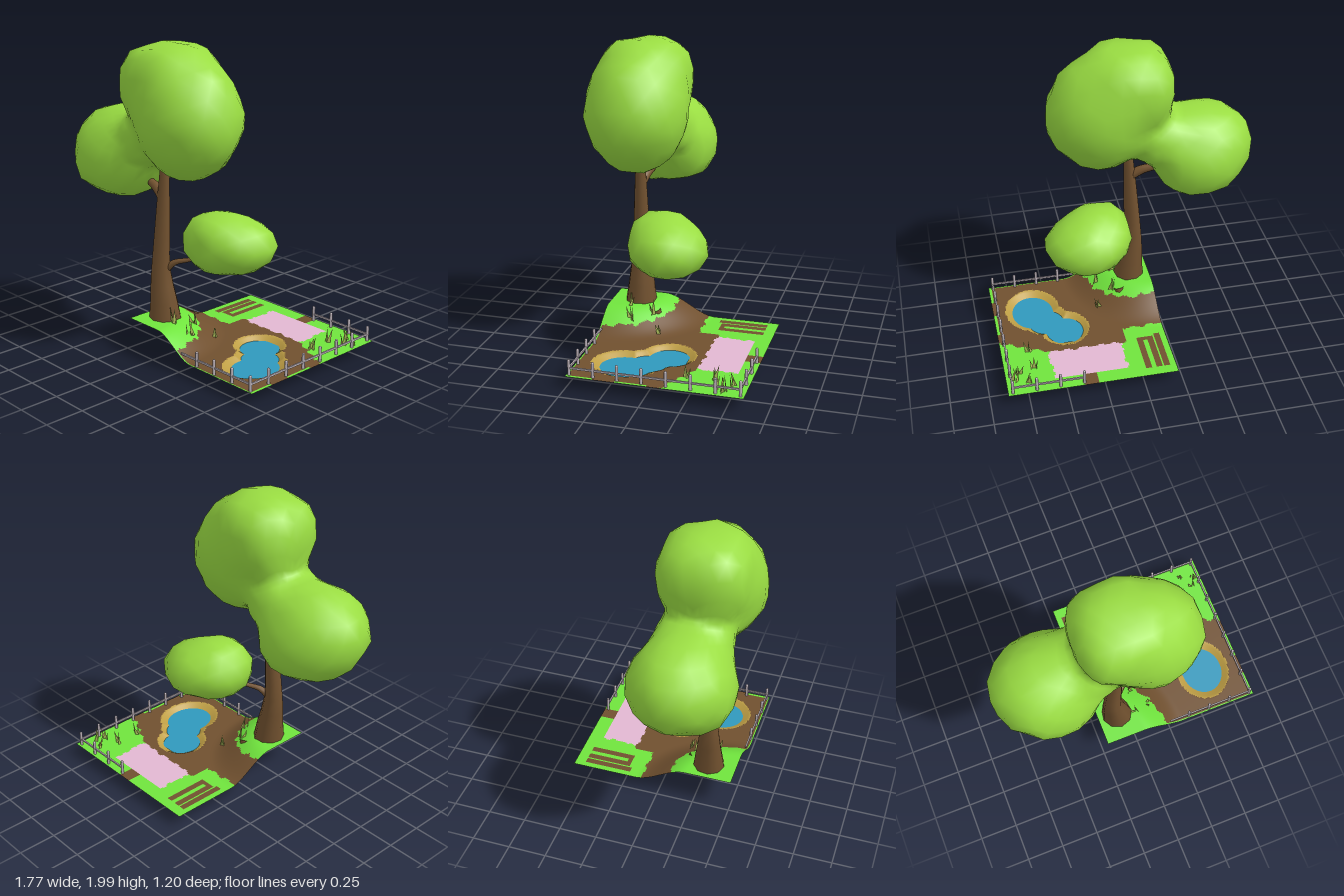
import * as THREE from 'three';
import { mergeVertices } from 'three/addons/utils/BufferGeometryUtils.js';

const V = (x, y, z) => new THREE.Vector3(x, y, z);
const mat = (name, color, side = THREE.FrontSide) => {
  const m = new THREE.MeshStandardMaterial({ color, side });
  m.name = name;
  return m;
};
const hash = (a, b, c) => {
  const s = Math.sin(a * 127.1 + b * 311.7 + c * 74.7) * 43758.5453;
  return s - Math.floor(s);
};

// Pond outline: overlapping ellipses, 1 at the water line
const pond = (x, z) => Math.min(
  Math.hypot((x - 0.615) / 0.14, (z - 0.2) / 0.165),
  Math.hypot((x - 0.43) / 0.125, (z + 0.03) / 0.13),
  Math.hypot((x - 0.54) / 0.12, (z - 0.08) / 0.12));

// Height of the land: a hill in the front corner and the pond basin
function landHeight(x, z) {
  const d = Math.hypot((x + 0.22) / 0.56, (0.5 - z) / 0.65);
  const hill = 0.14 * (1 - THREE.MathUtils.smoothstep(d, 0.48, 1.02));
  const basin = 0.08 * THREE.MathUtils.clamp((1.3 - pond(x, z)) / 0.9, 0, 1);
  return 0.08 + hill - basin;
}

// Land colour: 0 grass, 1 soil, 2 paving, 3 sand
function landColour(x, z) {
  const w = 0.007 * Math.sin(x * 60 + z * 25) + 0.005 * Math.sin(z * 90 - x * 40);
  if (pond(x, z) + w < 1.33) return 3;
  if (x > 0.09 + w && x < 0.575 + w && z > -0.5 && z < -0.25 + w) return 2;
  if (x > 0.3 && x < 0.39 && z < -0.49) return 1;
  const inRow = [[-0.18, -0.14, -0.21], [-0.13, -0.085, -0.24], [-0.055, -0.015, -0.23]]
    .some(([a, b, end]) => x > a && x < b && z > -0.53 && z < end);
  if (inRow || (x > -0.13 && x < -0.06 && z > -0.26 && z < -0.235)) return 1;
  if (Math.hypot((x + 0.15) / 0.37, (z - 0.5) / 0.42) + w * 3 < 1) return 0;
  if (z > 0.487 || (x > 0.868 && Math.sin(z * 18) > -0.3)) return 0;
  let edge = -0.12;
  if (x > 0.05) edge = -0.255;
  if (x > 0.55) edge = -0.255 + (x - 0.55) * 0.48;
  return z > edge + w ? 1 : 0;
}

function buildLand(materials) {
  const n = 110;
  const geo = new THREE.PlaneGeometry(1.105, 1.105, n, n);
  geo.rotateX(-Math.PI / 2).translate(0.3325, 0, -0.0525);
  const p = geo.attributes.position;
  for (let i = 0; i < p.count; i++) p.setY(i, landHeight(p.getX(i), p.getZ(i)));
  const lists = materials.map(() => []);
  const index = geo.index.array;
  for (let c = 0; c < n * n; c++) {
    const x = -0.22 + ((c % n) + 0.5) * 1.105 / n;
    const z = -0.605 + (Math.floor(c / n) + 0.5) * 1.105 / n;
    lists[landColour(x, z)].push(...index.slice(c * 6, c * 6 + 6));
  }
  geo.setIndex(lists.flat());
  let start = 0;
  lists.forEach((list, i) => {
    geo.addGroup(start, list.length, i);
    start += list.length;
  });
  geo.computeVertexNormals();
  return new THREE.Mesh(geo, materials);
}

// Tapered tube along a curve
function limb(points, radii) {
  const curve = new THREE.CatmullRomCurve3(points);
  const rings = 10, sides = 9;
  const geo = new THREE.TubeGeometry(curve, rings, 1, sides);
  const p = geo.attributes.position, v = V(0, 0, 0);
  for (let i = 0; i < p.count; i++) {
    const t = Math.floor(i / (sides + 1)) / rings;
    const s = t * (radii.length - 1), k = Math.min(Math.floor(s), radii.length - 2);
    const r = THREE.MathUtils.lerp(radii[k], radii[k + 1], s - k);
    const c = curve.getPointAt(t);
    v.fromBufferAttribute(p, i).sub(c).multiplyScalar(r).add(c);
    p.setXYZ(i, v.x, v.y, v.z);
  }
  return geo;
}

// Leaf clump: rays from a centre out to the blended surface of several lobes,
// each a centre, three radii and a boxiness exponent
function leafClump(centre, lobes, detail) {
  const inside = (q) => {
    let d = 9;
    for (const [c, r, n] of lobes) {
      const sum = ['x', 'y', 'z'].reduce((s, a) => s + Math.abs((q[a] - c[a]) / r[a]) ** n, 0);
      const e = (sum ** (1 / n) - 1) * Math.min(r.x, r.y, r.z);
      const h = Math.max(0.08 - Math.abs(d - e), 0) / 0.08;
      d = Math.min(d, e) - h * h * 0.02;
    }
    return d < 0;
  };
  let geo = new THREE.IcosahedronGeometry(1, detail);
  geo.deleteAttribute('uv');
  geo.deleteAttribute('normal');
  geo = mergeVertices(geo, 1e-3);
  const p = geo.attributes.position, dir = V(0, 0, 0), q = V(0, 0, 0);
  for (let i = 0; i < p.count; i++) {
    dir.fromBufferAttribute(p, i).normalize();
    let t = 0.9;
    do {
      t -= 0.004;
      q.copy(centre).addScaledVector(dir, t);
    } while (t > 0.1 && !inside(q));
    q.copy(centre).addScaledVector(dir, t * (0.985 + 0.035 * hash(i, centre.x, 1)));
    p.setXYZ(i, q.x, q.y, q.z);
  }
  geo.computeVertexNormals();
  return geo;
}

export function createModel() {
  const model = new THREE.Group();
  model.name = 'gardenWithTree';
  const D = THREE.DoubleSide;
  const grass = mat('grass green', 0x70e43d, D), soil = mat('soil brown', 0x70502f, D);
  const paving = mat('paving pink', 0xe2b8d2, D), sand = mat('sand', 0xbf9f45, D);
  const water = mat('water blue', 0x3099bd, D), bark = mat('bark brown', 0x755431);
  const leaves = mat('leaf green', 0x9add42), blade = mat('blade green', 0xb4c660, D);
  const metal = mat('fence grey', 0xc2b7be);
  const add = (name, geo, material, parent = model) => {
    const m = new THREE.Mesh(geo, material);
    m.name = name;
    parent.add(m);
    return m;
  };

  // Land and water
  const land = buildLand([grass, soil, paving, sand]);
  land.name = 'land';
  model.add(land);
  add('pondWater', new THREE.PlaneGeometry(0.6, 0.58).rotateX(-Math.PI / 2).translate(0.48, 0.053, 0.14), water);

  // Trunk, branches and root
  add('trunk', limb([V(-0.085, 0.212, 0.315), V(-0.095, 0.32, 0.315), V(-0.115, 0.52, 0.32), V(-0.1, 0.85, 0.315), V(-0.075, 1.3, 0.31)],
    [0.105, 0.08, 0.058, 0.052, 0.045, 0.035, 0.025]), bark);
  add('upperBranch', limb([V(-0.09, 1.02, 0.315), V(-0.17, 1.065, 0.3), V(-0.27, 1.095, 0.28), V(-0.36, 1.15, 0.26)],
    [0.036, 0.03, 0.022, 0.016]), bark);
  add('lowerBranch', limb([V(-0.1, 0.53, 0.31), V(-0.04, 0.59, 0.27), V(0.04, 0.615, 0.21), V(0.12, 0.67, 0.14)],
    [0.03, 0.018, 0.013, 0.01]), bark);
  add('root', limb([V(0.01, 0.19, 0.19), V(0, 0.13, 0.17), V(-0.025, 0.07, 0.15)], [0.035, 0.04, 0.028]), bark);

  // Leaf clumps; the upper one is two masses flowing into each other
  add('upperCrown', leafClump(V(-0.2, 1.41, 0.26), [
    [V(0.11, 1.55, 0.275), V(0.36, 0.39, 0.33), 1.85],
    [V(-0.075, 1.74, 0.26), V(0.275, 0.25, 0.29), 2.8],
    [V(-0.55, 1.255, 0.25), V(0.335, 0.285, 0.31), 2],
    [V(-0.5, 1.17, 0.25), V(0.25, 0.195, 0.315), 2.8],
    [V(-0.26, 1.37, 0.25), V(0.2, 0.18, 0.24), 2.3],
  ], 6), leaves);
  add('lowCrown', leafClump(V(0.22, 0.74, 0.05), [
    [V(0.155, 0.745, 0.11), V(0.185, 0.18, 0.18), 2.7],
    [V(0.26, 0.725, 0.02), V(0.275, 0.18, 0.25), 2],
  ], 2), leaves);

  // Fence around the front, right and back
  const fence = new THREE.Group();
  fence.name = 'fence';
  model.add(fence);
  const post = (x, z) => {
    add('fencePost', new THREE.CylinderGeometry(0.01, 0.01, 0.1, 8).translate(x, 0.125, z), metal, fence);
    add('fencePostCap', new THREE.SphereGeometry(0.01, 8, 5).translate(x, 0.172, z), metal, fence);
  };
  for (let i = 0; i < 8; i++) post(0.855, 0.483 - i * 0.152);
  for (let i = 0; i < 3; i++) for (const z of [0.483, -0.581]) post(0.395 + i * 0.153, z);
  const rail = (len, x, z, alongX) => add('fenceRail',
    new THREE.BoxGeometry(alongX ? len : 0.01, 0.012, alongX ? 0.01 : len).translate(x, 0.125, z), metal, fence);
  rail(1.064, 0.855, -0.049, false);
  rail(0.6, 0.555, 0.483, true);
  rail(0.46, 0.625, -0.581, true);

  // Tufts of flat upright blades on the hill and in the back corner
  const bladeShape = (h, lean) => new THREE.ShapeGeometry(new THREE.Shape([
    new THREE.Vector2(-0.013, 0), new THREE.Vector2(0.013, 0), new THREE.Vector2(lean, h)]));
  const tufts = [[0.04, 0.36], [0.06, 0.2], [0.15, 0.31], [0.17, 0.13], [0.7, -0.22],
    [0.69, -0.38], [0.8, -0.42], [0.83, -0.48], [0.74, -0.51]];
  tufts.forEach(([x, z], i) => {
    const tuft = new THREE.Group();
    tuft.name = 'grassTuft';
    tuft.position.set(x, landHeight(x, z), z);
    for (let b = 0; b < 3; b++) {
      const lean = (b - 1) * 0.025;
      const m = add('grassBlade', bladeShape(0.06 + 0.05 * hash(i, b, 2), lean), blade, tuft);
      m.rotation.y = i + b * 1.05;
      m.position.set(lean * 0.5, 0, (hash(b, i, 5) - 0.5) * 0.03);
    }
    model.add(tuft);
  });
  return model;
}
